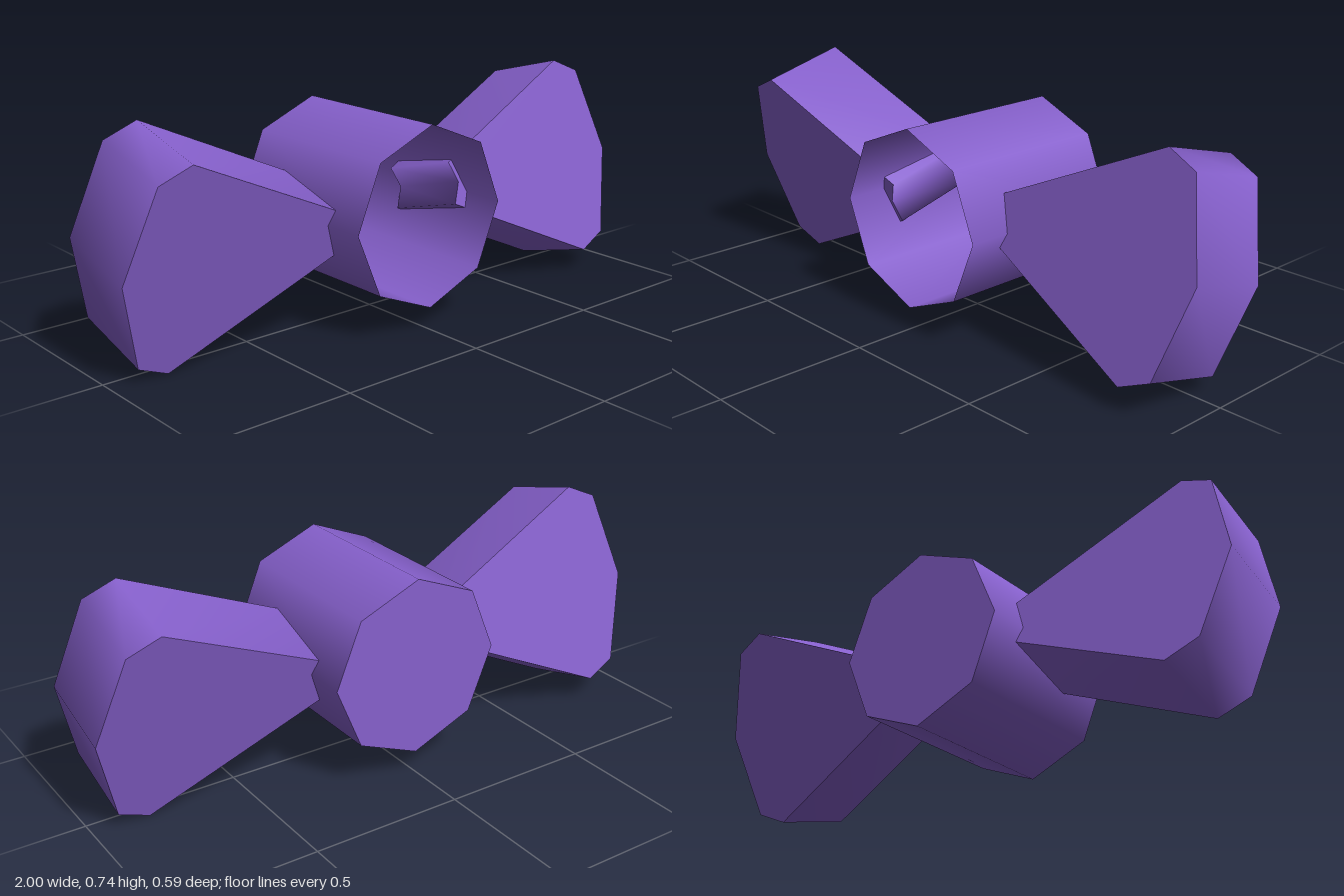
import * as THREE from 'three';

const CENTER_Y = 0.37;
const HUB_R = 0.295;
const PITCH = -0.261;

// Blade outline (x along the blade, y across it), counter-clockwise
const upper = [[0.92, 0.295], [0.815, 0.342], [0.235, 0.07]];
const outline = [
  [1, 0],
  ...upper,
  [0.265, 0],
  ...upper.map(([x, y]) => [x, -y]).reverse(),
];

// Flat end faces plus a smooth rim wall around the outline
function bladeFace(half, front) {
  const geo = new THREE.ShapeGeometry(
    new THREE.Shape(outline.map(([x, y]) => new THREE.Vector2(x, front ? y : -y))));
  if (!front) geo.rotateX(Math.PI);
  return geo.translate(0, 0, front ? half : -half);
}

function bladeRim(half) {
  const pos = [];
  const index = [];
  const n = outline.length;
  outline.forEach(([x, y], i) => {
    pos.push(x, y, half, x, y, -half);
    const a = 2 * i;
    const b = 2 * ((i + 1) % n);
    index.push(a, a + 1, b, b, a + 1, b + 1);
  });
  const geo = new THREE.BufferGeometry();
  geo.setAttribute('position', new THREE.Float32BufferAttribute(pos, 3));
  geo.setIndex(index);
  geo.computeVertexNormals();
  return geo;
}

export function createModel() {
  const purple = new THREE.MeshStandardMaterial({ color: 0x8660cc, side: THREE.DoubleSide });
  purple.name = 'purple';

  const model = new THREE.Group();
  model.name = 'propeller';
  const add = (parent, geo, name) => {
    const mesh = new THREE.Mesh(geo, purple);
    mesh.name = name;
    parent.add(mesh);
  };

  // Eight-sided hub, open at the front and closed at the back
  const hub = new THREE.Group();
  hub.name = 'hub';
  hub.position.y = CENTER_Y;
  add(hub, new THREE.CylinderGeometry(HUB_R, HUB_R, 2 * HUB_R, 8, 1, true).rotateX(Math.PI / 2), 'hubWall');
  add(hub, new THREE.CircleGeometry(HUB_R, 8).rotateY(Math.PI).translate(0, 0, -HUB_R), 'hubBack');
  model.add(hub);

  // Two pitched blades, half a turn apart
  const half = 0.147;
  ['leftBlade', 'rightBlade'].forEach((name, i) => {
    const arm = new THREE.Group();
    arm.name = name;
    arm.position.y = CENTER_Y;
    arm.rotation.z = i * Math.PI;
    const blade = new THREE.Group();
    blade.name = name + 'Pitch';
    blade.rotation.x = PITCH;
    add(blade, bladeFace(half, true), 'bladeFront');
    add(blade, bladeFace(half, false), 'bladeBack');
    add(blade, bladeRim(half), 'bladeRim');
    arm.add(blade);
    model.add(arm);
  });

  return model;
}
